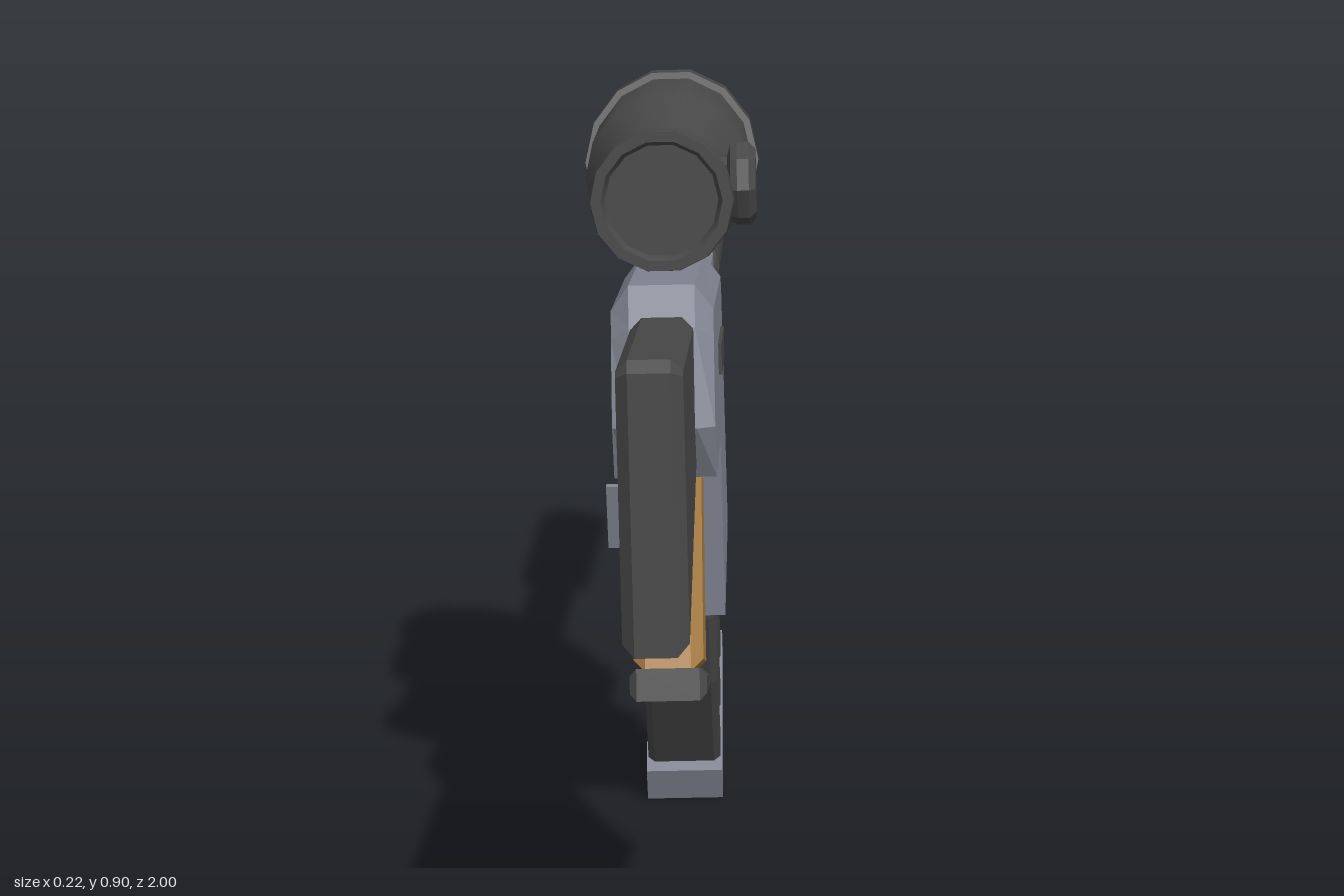
import * as THREE from 'three';
import { toCreasedNormals } from 'three/addons/utils/BufferGeometryUtils.js';

const mat = (name, color) => Object.assign(new THREE.MeshStandardMaterial({ color }), { name });

// Shrinks a counter-clockwise outline by d.
function inset(pts, d) {
  const n = pts.length;
  const normal = (a, b) => {
    const l = Math.hypot(b[0] - a[0], b[1] - a[1]);
    return [-(b[1] - a[1]) / l, (b[0] - a[0]) / l];
  };
  return pts.map((p, i) => {
    const a = normal(pts[(i + n - 1) % n], p), b = normal(p, pts[(i + 1) % n]);
    const k = d / Math.max(0.4, 1 + a[0] * b[0] + a[1] * b[1]);
    return [p[0] + (a[0] + b[0]) * k, p[1] + (a[1] + b[1]) * k];
  });
}

// Side-profile slab: full outline at +-inner, smaller face outline at +-outer.
// Profiles are counter-clockwise [u, y], where u runs towards the muzzle (-z).
function slab(full, inner, outer = inner, face = full) {
  const rings = outer > inner
    ? [[face, -outer], [full, -inner], [full, inner], [face, outer]]
    : [[full, -inner], [full, inner]];
  const pos = [], n = full.length;
  const put = (k, i) => pos.push(rings[k][0][i][0], rings[k][0][i][1], rings[k][1]);
  for (let k = 0; k < rings.length - 1; k++) {
    for (let i = 0; i < n; i++) {
      const j = (i + 1) % n;
      put(k, i); put(k, j); put(k + 1, j);
      put(k, i); put(k + 1, j); put(k + 1, i);
    }
  }
  const cap = THREE.ShapeUtils.triangulateShape(face.map(p => new THREE.Vector2(...p)), []);
  for (const [a, b, c] of cap) {
    put(0, c); put(0, b); put(0, a);
    const t = rings.length - 1;
    put(t, a); put(t, b); put(t, c);
  }
  const g = new THREE.BufferGeometry();
  g.setAttribute('position', new THREE.Float32BufferAttribute(pos, 3));
  g.computeVertexNormals();
  return g;
}

const bevelled = (pts, half, bevel) => slab(pts, half - bevel, half, inset(pts, bevel));

// Turned part along u from [radius, distance] pairs, with an optional slanted end.
function turned(profile, sides, u, y, tilt, slantFrom = Infinity, slant = 0) {
  const g = new THREE.LatheGeometry(profile.map(p => new THREE.Vector2(...p)), sides);
  g.rotateZ(-Math.PI / 2);
  const p = g.attributes.position;
  for (let i = 0; i < p.count; i++) {
    if (p.getX(i) > slantFrom) p.setX(i, p.getX(i) + slant * p.getY(i));
  }
  g.rotateZ(tilt).translate(u, y, 0);
  return toCreasedNormals(g, 0.7);
}

export function createModel() {
  const metal = mat('blueGreyMetal', 0x828592);
  const dark = mat('darkMetal', 0x484848);
  const wood = mat('wood', 0xa87d44);
  const body = new THREE.Group();
  body.name = 'rifle';
  const add = (name, geometry, material) => {
    geometry.rotateY(Math.PI / 2);
    geometry.translate(0, -0.75, 0);
    const m = new THREE.Mesh(geometry, material);
    m.name = name;
    body.add(m);
  };

  // Receiver with chamfered top and front, square underneath
  add('receiver', slab(
    [[-0.544, 0.58], [-0.512, 0.516], [-0.27, 0.505], [-0.244, 0.28], [0.056, 0.33], [0.013, 0.645], [-0.013, 0.68], [-0.48, 0.735], [-0.507, 0.69]],
    0.038, 0.059,
    [[-0.535, 0.58], [-0.512, 0.516], [-0.27, 0.505], [-0.244, 0.28], [0.04, 0.327], [-0.008, 0.635], [-0.03, 0.655], [-0.475, 0.705], [-0.495, 0.675]]), metal);
  add('handguard', bevelled(
    [[-0.05, 0.4], [0.03, 0.383], [0.18, 0.364], [0.207, 0.378], [0.225, 0.42], [0.243, 0.51], [0.254, 0.65], [-0.05, 0.678]],
    0.045, 0.018), metal);
  add('ejectionPort', slab(
    [[-0.27, 0.583], [-0.108, 0.572], [-0.105, 0.608], [-0.268, 0.62]], 0.003).translate(0, 0, 0.06), dark);

  // Shoulder stock
  add('stock', bevelled(
    [[-1, 0.435], [-0.985, 0.434], [-0.5, 0.525], [-0.49, 0.7], [-0.968, 0.752], [-0.982, 0.74]], 0.036, 0.013), dark);

  // Pistol grip and its cap
  add('grip', bevelled(
    [[-0.62, 0.315], [-0.46, 0.268], [-0.43, 0.36], [-0.35, 0.53], [-0.475, 0.53], [-0.54, 0.44]], 0.04, 0.014), wood);
  add('gripCap', bevelled(
    [[-0.638, 0.285], [-0.465, 0.25], [-0.457, 0.272], [-0.625, 0.32]], 0.044, 0.008), dark);

  // Trigger and guard, the guard set towards one side
  add('trigger', slab(
    [[-0.322, 0.44], [-0.31, 0.44], [-0.305, 0.47], [-0.312, 0.52], [-0.328, 0.52], [-0.32, 0.47]], 0.01), metal);
  add('triggerGuard', slab(
    [[-0.425, 0.412], [-0.25, 0.396], [-0.25, 0.412], [-0.41, 0.427], [-0.43, 0.49], [-0.445, 0.49]], 0.022).translate(0, 0, -0.05), metal);

  // Curved magazine: raised dark ribs over a lighter core
  const rear = [[-0.2, 0.33], [-0.19, 0.26], [-0.157, 0.17], [-0.08, 0.04]];
  const front = [[0.01, 0.36], [0.02, 0.3], [0.045, 0.245], [0.1, 0.16]];
  const strip = (a, b) => {
    const at = t => rear.map((r, i) => [r[0] + (front[i][0] - r[0]) * t, r[1] + (front[i][1] - r[1]) * t]);
    return [...at(a), ...at(b).reverse()];
  };
  add('magazineCore', slab(strip(0.1, 0.9), 0.034), metal);
  for (const [a, b] of [[0, 0.24], [0.4, 0.62], [0.78, 1]]) {
    add('magazineRib', bevelled(strip(a, b), 0.045, 0.008), dark);
  }
  add('magazineBase', slab([[-0.085, 0.002], [0.122, 0.13], [0.105, 0.167], [-0.1, 0.042]], 0.047), metal);

  // Barrel and suppressor with a bored muzzle
  add('barrel', turned([[0, 0], [0.031, 0], [0.031, 0.36], [0, 0.36]], 12, 0.22, 0.573, -0.068), dark);
  add('suppressor', turned(
    [[0, 0], [0.038, 0], [0.046, 0.008], [0.047, 0.436], [0.043, 0.443], [0.029, 0.443], [0.027, 0.36], [0, 0.36]],
    14, 0.555, 0.55, -0.068), dark);

  // Scope: flared eyepiece, waist, wide tube and slanted front rim
  add('scope', turned(
    [[0, 0.012], [0.066, 0.012], [0.071, 0], [0.083, 0], [0.085, 0.015], [0.069, 0.1], [0.069, 0.22], [0.1, 0.27],
      [0.1, 0.462], [0.108, 0.462], [0.108, 0.5], [0.096, 0.5], [0.09, 0.48], [0, 0.48]],
    14, -0.387, 0.815, -0.07, 0.4, 0.56), dark);

  // Adjustment knob on the scope's side
  const knob = new THREE.LatheGeometry(
    [[0, 0], [0.032, 0], [0.032, 0.03], [0.046, 0.034], [0.05, 0.042], [0.05, 0.056], [0.042, 0.064], [0, 0.064]]
      .map(p => new THREE.Vector2(...p)), 8);
  knob.rotateX(Math.PI / 2).translate(-0.222, 0.805, 0.044);
  add('scopeKnob', toCreasedNormals(knob, 0.4), dark);

  // Slight roll about the line of the receiver's top
  body.position.y = 0.75;
  body.rotation.z = 0.027;
  const model = new THREE.Group();
  model.name = 'scopedRifle';
  model.add(body);
  return model;
}
